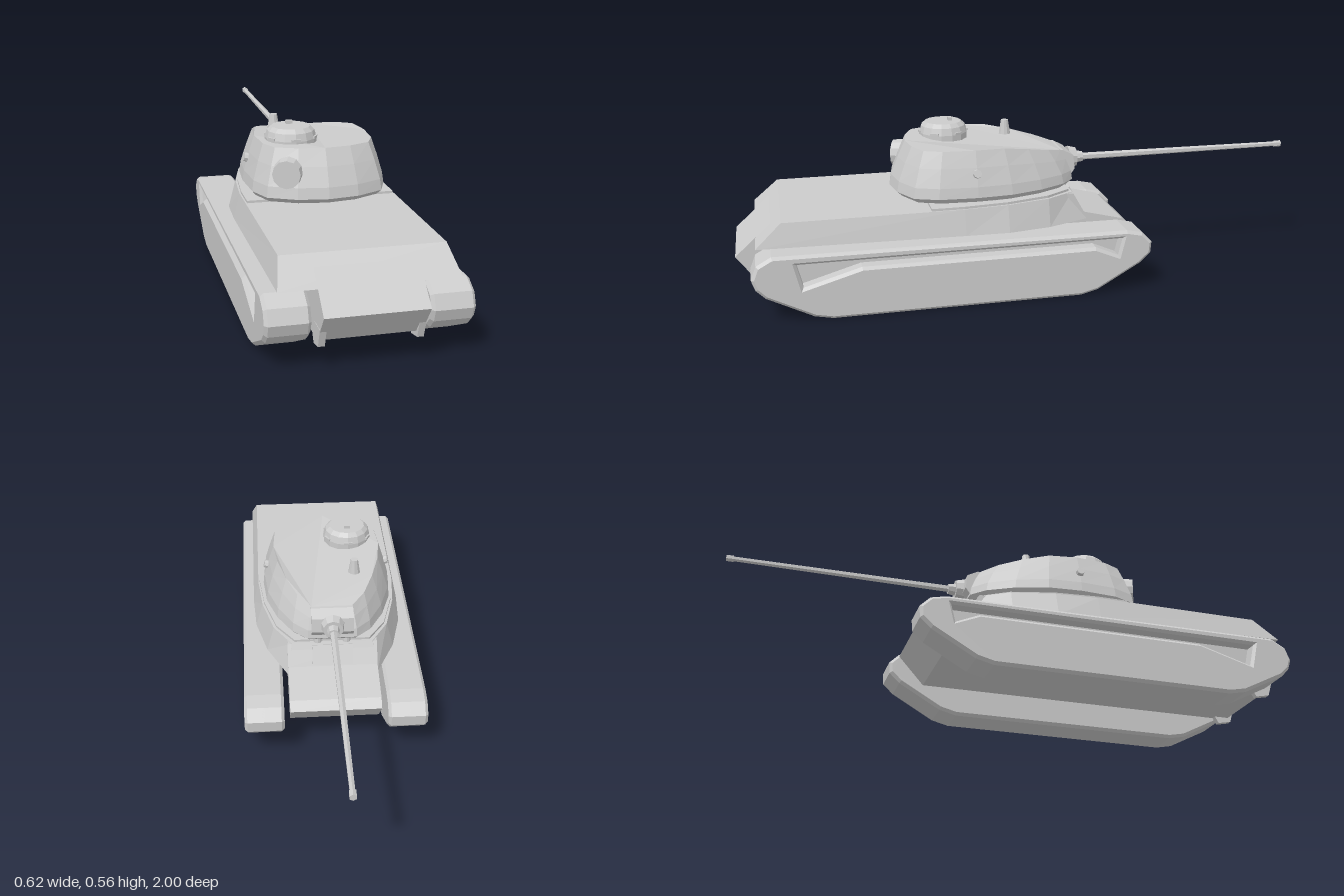
import * as THREE from 'three';

const grey = new THREE.MeshStandardMaterial({ color: 0xcccccc, flatShading: true });

function add(parent, name, geometry, x = 0, y = 0, z = 0) {
  const mesh = new THREE.Mesh(geometry, grey);
  mesh.name = name;
  mesh.position.set(x, y, z);
  parent.add(mesh);
  return mesh;
}

// Full ring from half an outline [x, y, z] that runs from -z to +z
function mirrorRing(half) {
  const other = half.filter(p => p[0] > 0).map(([x, y, z]) => [-x, y, z]).reverse();
  return [...half, ...other];
}

// Closed, faceted skin over rings stacked from bottom to top
function loft(rings) {
  const pos = [];
  const tri = (a, b, c) => pos.push(...a, ...b, ...c);
  const n = rings[0].length;
  for (let r = 0; r < rings.length - 1; r++) {
    for (let i = 0; i < n; i++) {
      const j = (i + 1) % n, lo = rings[r], hi = rings[r + 1];
      tri(lo[i], hi[i], lo[j]);
      tri(hi[i], hi[j], lo[j]);
    }
  }
  // Caps are strips across the mirror plane
  const cap = (ring, up) => {
    const shape = ring.map(p => new THREE.Vector2(p[0], p[2]));
    for (const [a, b, c] of THREE.ShapeUtils.triangulateShape(shape, [])) {
      const [p, q, s] = [ring[a], ring[b], ring[c]];
      const ny = (q[2] - p[2]) * (s[0] - p[0]) - (q[0] - p[0]) * (s[2] - p[2]);
      if ((ny > 0) === up) tri(p, q, s); else tri(p, s, q);
    }
  };
  cap(rings[0], false);
  cap(rings[rings.length - 1], true);
  const g = new THREE.BufferGeometry();
  g.setAttribute('position', new THREE.Float32BufferAttribute(pos, 3));
  g.computeVertexNormals();
  return g;
}

// Side profile [z, y] extruded across x from x0 to x1
function sidePlate(points, x0, x1, bevel = 0, hole = null) {
  const vec = list => list.map(([z, y]) => new THREE.Vector2(z, y));
  const shape = new THREE.Shape(vec(points));
  if (hole) shape.holes.push(new THREE.Path(vec(hole)));
  const g = new THREE.ExtrudeGeometry(shape, {
    depth: x1 - x0 - 2 * bevel, bevelEnabled: bevel > 0, bevelSegments: 1,
    bevelSize: bevel, bevelThickness: bevel, bevelOffset: -bevel,
  });
  return g.rotateY(-Math.PI / 2).translate(x1 - bevel, 0, 0);
}

function rod(r0, r1, length, sides) {
  return new THREE.CylinderGeometry(r1, r0, length, sides).rotateX(-Math.PI / 2);
}

function buildHull() {
  const hull = new THREE.Group();
  hull.name = 'hull';
  add(hull, 'lowerHull', sidePlate([
    [1, 0.185], [0.85, 0.32], [-0.15, 0.32], [-0.19, 0.25], [-0.33, 0.215],
    [-0.36, 0.19], [-0.27, 0.09], [0.93, 0.09]], -0.155, 0.155));

  // Wide superstructure over the tracks, narrowing towards the nose
  const base = [[0.155, 0.225, -0.2], [0.225, 0.228, -0.05], [0.262, 0.232, 0.1], [0.27, 0.236, 0.25], [0.27, 0.245, 0.933]];
  const deck = [[0.14, 0.322, -0.15], [0.2, 0.322, -0.05], [0.237, 0.322, 0.1], [0.25, 0.322, 0.25], [0.25, 0.322, 0.848]];
  add(hull, 'superstructure', loft([mirrorRing(base), mirrorRing(deck)]));

  // Raised deck under the turret
  const raised = [[0.13, -0.14], [0.19, -0.05], [0.23, 0.1], [0.245, 0.25], [0.245, 0.36]];
  add(hull, 'raisedDeck', loft([0.318, 0.33].map(y => mirrorRing(raised.map(([x, z]) => [x, y, z])))));

  // Driver's hatch on the sloping nose plate, with two periscopes above
  const hatch = add(hull, 'driverHatch', new THREE.BoxGeometry(0.14, 0.07, 0.012), 0, 0.285, -0.172);
  hatch.rotation.x = 0.5;
  for (const s of [-1, 1]) {
    add(hull, 'periscope', new THREE.CylinderGeometry(0.012, 0.014, 0.02, 8), s * 0.05, 0.332, -0.14);
    add(hull, 'towLug', sidePlate([[0.96, 0.135], [0.9, 0.135], [0.87, 0.1], [0.89, 0.065], [0.94, 0.075]],
      s * 0.146 - 0.01, s * 0.146 + 0.01));
  }
  return hull;
}

function buildTrack(side) {
  const track = new THREE.Group();
  track.name = side > 0 ? 'leftTrack' : 'rightTrack';
  const outline = [
    [0.7, 0], [0.76, 0.012], [0.91, 0.088], [0.94, 0.118], [0.953, 0.155], [0.935, 0.2], [0.885, 0.228],
    [-0.3, 0.222], [-0.355, 0.21], [-0.39, 0.175], [-0.387, 0.135], [-0.35, 0.1], [-0.2, 0.015], [-0.14, 0]];
  const recess = [[0.81, 0.195], [0.79, 0.115], [0.6, 0.17], [-0.19, 0.17], [-0.27, 0.135], [-0.285, 0.195]];
  const span = (a, b) => side > 0 ? [a, b] : [-b, -a];
  add(track, 'trackBody', sidePlate(outline, ...span(0.175, 0.26), 0.01));
  add(track, 'trackSide', sidePlate(outline, ...span(0.23, 0.31), 0.01, recess));
  return track;
}

function buildTurret() {
  const turret = new THREE.Group();
  turret.name = 'turret';
  add(turret, 'turretRing', new THREE.CylinderGeometry(0.2, 0.2, 0.03, 24), 0, 0.33, 0.14);

  // Cast shell: waist and roof outlines [x, z], blended level by level
  const waist = [[0.085, -0.165], [0.135, -0.12], [0.185, -0.03], [0.22, 0.08], [0.23, 0.2], [0.222, 0.33], [0.19, 0.41], [0.1, 0.455], [0, 0.47]];
  const roof = [[0.07, -0.125], [0.115, -0.07], [0.15, 0.01], [0.178, 0.1], [0.19, 0.2], [0.182, 0.31], [0.155, 0.37], [0.085, 0.4], [0, 0.412]];
  const roofY = z => 0.505 - 0.05 * Math.min(1, Math.max(0, (0.12 - z) / 0.25)) ** 1.3;
  const level = (t, y, grow = 1) => mirrorRing(waist.map(([x, z], i) => {
    const rx = x + (roof[i][0] - x) * t, rz = z + (roof[i][1] - z) * t;
    const ry = y + t * (roofY(roof[i][1]) - 0.505);
    return [rx * grow, ry, 0.15 + (rz - 0.15) * grow];
  }));
  add(turret, 'turretShell', loft([
    level(0, 0.335, 0.94), level(0, 0.352), level(0.12, 0.388), level(0.55, 0.45), level(1, 0.505)]));

  // Commander's cupola with a small sight
  const cupola = [[0, 0.48], [0.085, 0.48], [0.085, 0.512], [0.078, 0.536], [0.064, 0.549], [0, 0.549]];
  add(turret, 'cupola', new THREE.LatheGeometry(cupola.map(p => new THREE.Vector2(...p)), 14), -0.08, 0, 0.265);
  add(turret, 'cupolaSight', new THREE.BoxGeometry(0.022, 0.014, 0.014), -0.08, 0.553, 0.24);
  for (let i = 0; i < 6; i++) {
    const a = (i / 6) * Math.PI * 2;
    const slit = add(turret, 'visionBlock', new THREE.BoxGeometry(0.03, 0.008, 0.01),
      -0.08 + Math.sin(a) * 0.082, 0.516, 0.265 + Math.cos(a) * 0.082);
    slit.rotation.y = a;
  }
  add(turret, 'roofVent', new THREE.CylinderGeometry(0.013, 0.021, 0.05, 10), -0.09, 0.512, 0.04);

  // Round port on the rear corner
  const port = add(turret, 'rearPort', rod(0.056, 0.046, 0.09, 12).rotateY(Math.PI), -0.115, 0.43, 0.395);
  port.rotation.y = -0.4;

  // Side pistol ports
  for (const s of [-1, 1]) {
    const plug = add(turret, 'sidePort', new THREE.CylinderGeometry(0.014, 0.018, 0.03, 8), s * 0.21, 0.43, 0.2);
    plug.rotation.z = -s * 1.3;
  }
  return turret;
}

function buildGun() {
  const gun = new THREE.Group();
  gun.name = 'gun';
  add(gun, 'mantlet', sidePlate([
    [-0.08, 0.36], [-0.08, 0.455], [-0.135, 0.455], [-0.172, 0.435], [-0.178, 0.385], [-0.16, 0.36]], -0.072, 0.072));
  add(gun, 'gunCollar', rod(0.042, 0.034, 0.03, 10), 0, 0.408, -0.185);
  add(gun, 'gunSleeve', rod(0.023, 0.019, 0.03, 8), 0, 0.408, -0.21);
  add(gun, 'barrel', rod(0.013, 0.009, 0.8, 6), 0, 0.408, -0.59);
  add(gun, 'muzzle', rod(0.012, 0.012, 0.025, 6), 0, 0.408, -0.9875);
  return gun;
}

export function createModel() {
  const tank = new THREE.Group();
  tank.name = 'tank';
  tank.add(buildHull(), buildTrack(1), buildTrack(-1), buildTurret(), buildGun());
  return tank;
}
